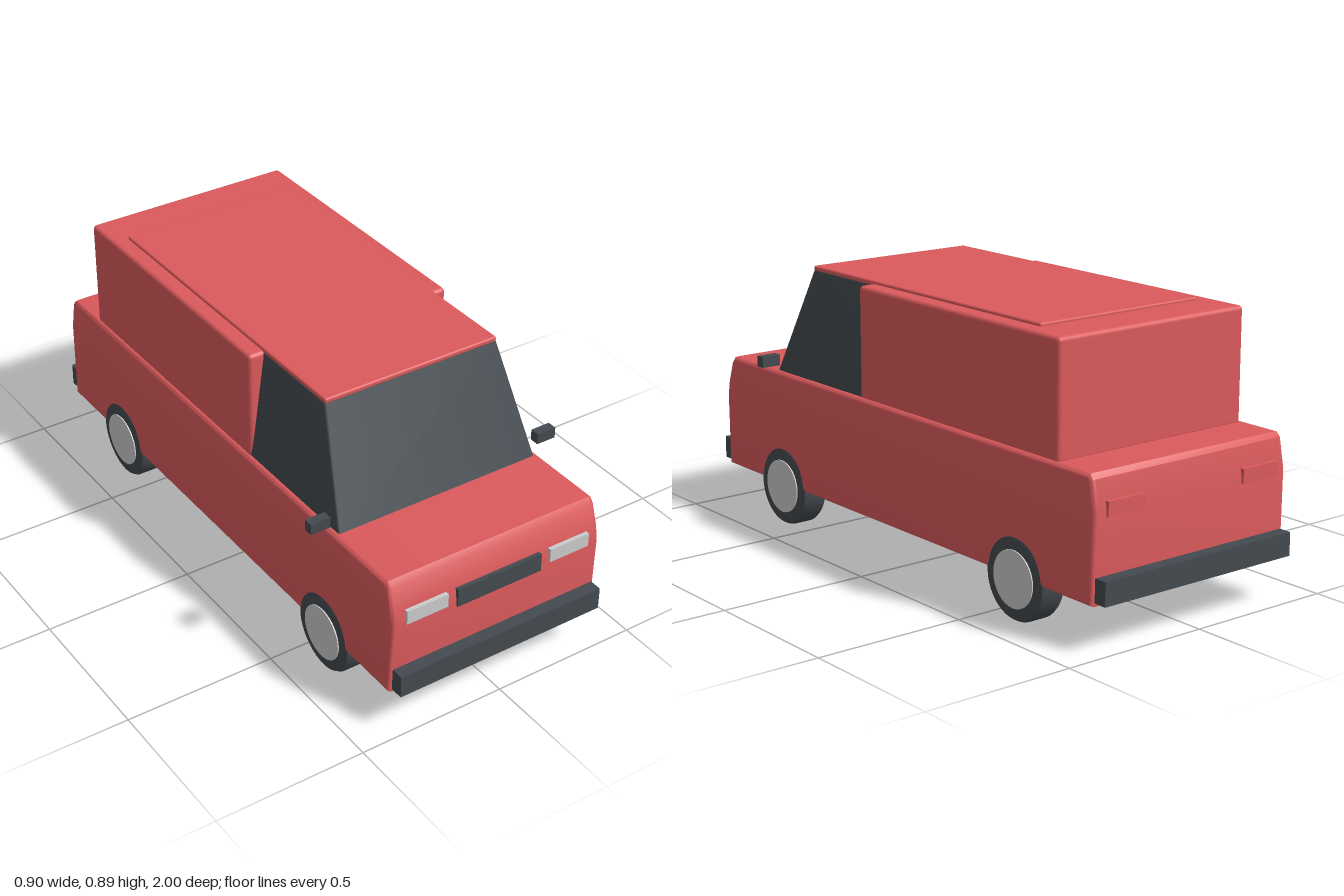
import * as THREE from 'three';
import { toCreasedNormals } from 'three/addons/utils/BufferGeometryUtils.js';
import { RoundedBoxGeometry } from 'three/addons/geometries/RoundedBoxGeometry.js';

const paint = (name, color) => {
  const m = new THREE.MeshStandardMaterial({ color });
  m.name = name;
  return m;
};

export function createModel() {
  const van = new THREE.Group();
  van.name = 'van';
  const red = paint('red paint', 0xdb5a5c);
  const dark = paint('dark trim', 0x434a4f);
  const light = paint('light grey', 0xcbcbcb);

  const add = (name, geometry, material, x = 0, y = 0, z = 0, parent = van) => {
    const mesh = new THREE.Mesh(geometry, material);
    mesh.name = name;
    mesh.position.set(x, y, z);
    parent.add(mesh);
    return mesh;
  };

  // Side profile [z, y] extruded across the width, with half widths at bottom and top
  const hull = (points, bottomHalf, topHalf, bevel) => {
    const shape = new THREE.Shape(points.map(([z, y]) => new THREE.Vector2(z, y)));
    const depth = 2 * (bottomHalf - bevel);
    const g = new THREE.ExtrudeGeometry(shape, {
      depth, bevelEnabled: true, bevelThickness: bevel, bevelSize: bevel,
      bevelOffset: -bevel, bevelSegments: 3,
    });
    g.translate(0, 0, -depth / 2).rotateY(-Math.PI / 2);
    const ys = points.map((p) => p[1]);
    const y0 = Math.min(...ys), y1 = Math.max(...ys);
    const p = g.attributes.position;
    for (let i = 0; i < p.count; i++) {
      const half = THREE.MathUtils.lerp(bottomHalf, topHalf, (p.getY(i) - y0) / (y1 - y0));
      p.setX(i, p.getX(i) * half / bottomHalf);
    }
    return toCreasedNormals(g, 0.6);
  };

  // Lower body
  add('body', hull([
    [-0.955, 0.145], [0.955, 0.145], [0.965, 0.39], [0.957, 0.44], [0.935, 0.51], [0.92, 0.53],
    [-0.93, 0.53], [-0.945, 0.515], [-0.962, 0.42],
  ], 0.384, 0.377, 0.014), red);

  // Glazed cab, cargo box and roof panel
  add('cabGlass', hull([[0.0, 0.525], [0.665, 0.525], [0.512, 0.888], [0.0, 0.888]], 0.361, 0.31, 0.006), dark);
  add('cargoBox', new RoundedBoxGeometry(0.726, 0.37, 0.972, 3, 0.014), red, 0, 0.705, -0.299);
  add('roofPanel', new RoundedBoxGeometry(0.62, 0.018, 1.155, 2, 0.006), red, 0, 0.891, -0.063);

  // Bumpers, front and rear
  for (const [name, s] of [['frontBumper', 1], ['rearBumper', -1]]) {
    add(name, new THREE.BoxGeometry(0.74, 0.075, 0.05), dark, 0, 0.193, s * 0.975);
  }
  add('grille', new THREE.BoxGeometry(0.306, 0.061, 0.02), dark, 0, 0.406, 0.962);

  // Wheel section: [radius, offset along the axle]
  const tyreProfile = [
    [0, -0.045], [0.115, -0.045], [0.127, -0.041], [0.133, -0.03],
    [0.133, 0.03], [0.127, 0.041], [0.115, 0.045], [0, 0.045],
  ].map(([r, h]) => new THREE.Vector2(r, h));
  const tyre = toCreasedNormals(new THREE.LatheGeometry(tyreProfile, 40).rotateZ(Math.PI / 2), 0.7);
  const hub = new THREE.CylinderGeometry(0.09, 0.09, 0.02, 32).rotateZ(Math.PI / 2);

  for (const [side, s] of [['left', 1], ['right', -1]]) {
    add(`${side}Headlight`, new THREE.BoxGeometry(0.146, 0.046, 0.02), light, s * 0.26, 0.414, 0.961);
    add(`${side}TailLight`, new THREE.BoxGeometry(0.14, 0.046, 0.02), red, s * 0.265, 0.428, -0.96);
    add(`${side}Mirror`, new THREE.BoxGeometry(0.068, 0.036, 0.032), dark, s * 0.416, 0.575, 0.635);
    for (const [end, z] of [['Front', 0.615], ['Rear', -0.615]]) {
      const wheel = new THREE.Group();
      wheel.name = `${side}${end}Wheel`;
      wheel.position.set(s * 0.341, 0.14, z);
      van.add(wheel);
      add('tyre', tyre, dark, 0, 0, 0, wheel);
      add('hubcap', hub, light, s * 0.039, 0, 0, wheel);
    }
  }

  // Rest the tyres on the ground
  van.children.forEach((part) => { part.position.y -= 0.003; });
  return van;
}
